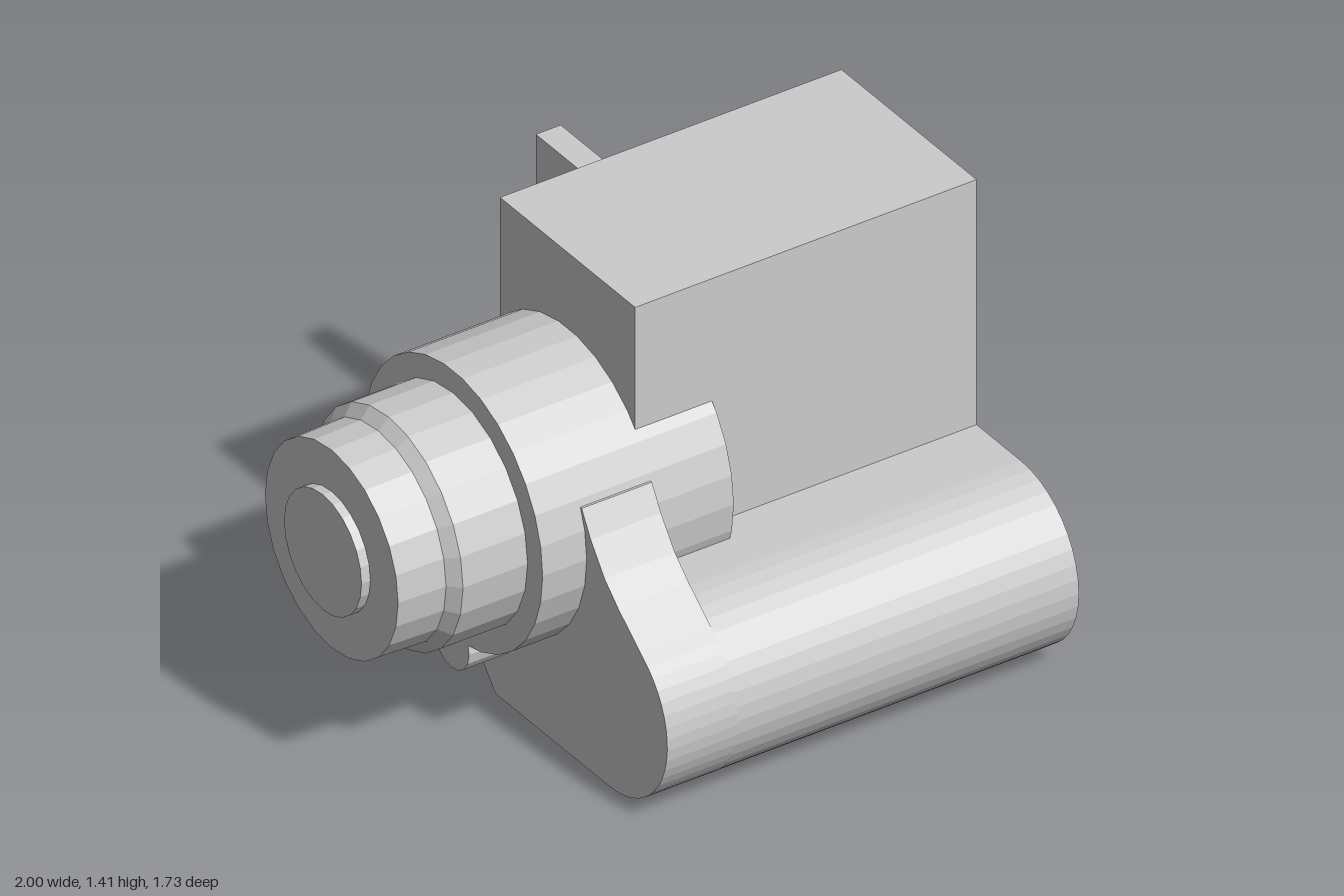
import * as THREE from 'three';

const material = new THREE.MeshStandardMaterial({ color: 0xcccccc, flatShading: true });

export function createModel() {
  const group = new THREE.Group();
  const add = (name, geometry) => {
    const mesh = new THREE.Mesh(geometry, material);
    mesh.name = name;
    group.add(mesh);
  };

  // Profile drawn in (z, y), extruded from x0 to x1
  const slab = (name, shape, x0, x1, curveSegments = 10) => {
    const geometry = new THREE.ExtrudeGeometry(shape, { depth: x1 - x0, bevelEnabled: false, curveSegments });
    geometry.rotateY(-Math.PI / 2).translate(x1, 0, 0);
    add(name, geometry);
  };
  const rect = (target, z0, y0, z1, y1) =>
    target.moveTo(z0, y0).lineTo(z1, y0).lineTo(z1, y1).lineTo(z0, y1).closePath();

  // Solid of revolution along x from [radius, x] points, largest x last
  const turned = (name, points, y, z, segments = 24) => {
    const profile = points.map(([r, x]) => new THREE.Vector2(r, x));
    const geometry = new THREE.LatheGeometry(profile, segments);
    geometry.rotateZ(-Math.PI / 2).translate(0, y, z);
    add(name, geometry);
  };

  // Body: tall box with a rounded grip along the front
  const bodyShape = () => {
    const s = new THREE.Shape();
    s.moveTo(-0.33, 0).lineTo(0.575, 0);
    s.absarc(0.575, 0.29, 0.29, -Math.PI / 2, Math.PI / 2, false);
    s.lineTo(0.35, 0.58).lineTo(0.35, 1.41).lineTo(-0.33, 1.41).closePath();
    return s;
  };
  slab('body', bodyShape(), -0.165, 0.1);

  // Open end of the body, around a deep rectangular cavity
  const openBody = bodyShape();
  openBody.holes.push(rect(new THREE.Path(), -0.27, 0.05, 0.3, 1.36));
  slab('openBody', openBody, 0.1, 1);

  // Web sweeping from the grip up to the barrel, tangent to it at the back
  const web = new THREE.Shape();
  web.moveTo(0, 0).lineTo(0.575, 0);
  web.absarc(0.575, 0.291, 0.291, -Math.PI / 2, Math.PI * 0.31, false);
  for (const [z, y] of [[0.62, 0.625], [0.55, 0.69], [0.48, 0.785], [0.435, 0.865], [0, 0.9], [-0.346, 0.418]])
    web.lineTo(z, y);
  web.closePath();
  slab('web', web, -0.405, -0.165);

  // Barrel and stepped front rings
  turned('barrel', [[0, -0.555], [0.45, -0.555], [0.45, 0.097], [0, 0.097]], 0.705, 0.01, 30);
  turned('frontRings', [
    [0, -1], [0.195, -1], [0.195, -0.97], [0.335, -0.97], [0.34, -0.81],
    [0.374, -0.775], [0.374, -0.5],
  ], 0.705, 0.01);

  // Small pin under the barrel
  turned('lowerPin', [[0, -0.555], [0.09, -0.555], [0.09, -0.4], [0, -0.4]], 0.235, 0, 16);

  // Two round buttons on the back
  for (const y of [0.195, 1.212]) {
    const button = new THREE.CylinderGeometry(0.112, 0.112, 0.1, 18);
    button.rotateX(Math.PI / 2).translate(0.75, y, -0.362);
    add('backButton', button);
  }

  // Mounting plate with a round hole
  const plate = rect(new THREE.Shape(), -0.865, 0.26, -0.33, 1.15);
  plate.holes.push(new THREE.Path().absarc(-0.65, 0.705, 0.19, 0, Math.PI * 2, true));
  slab('mountingPlate', plate, 0.32, 0.405, 20);

  return group;
}
